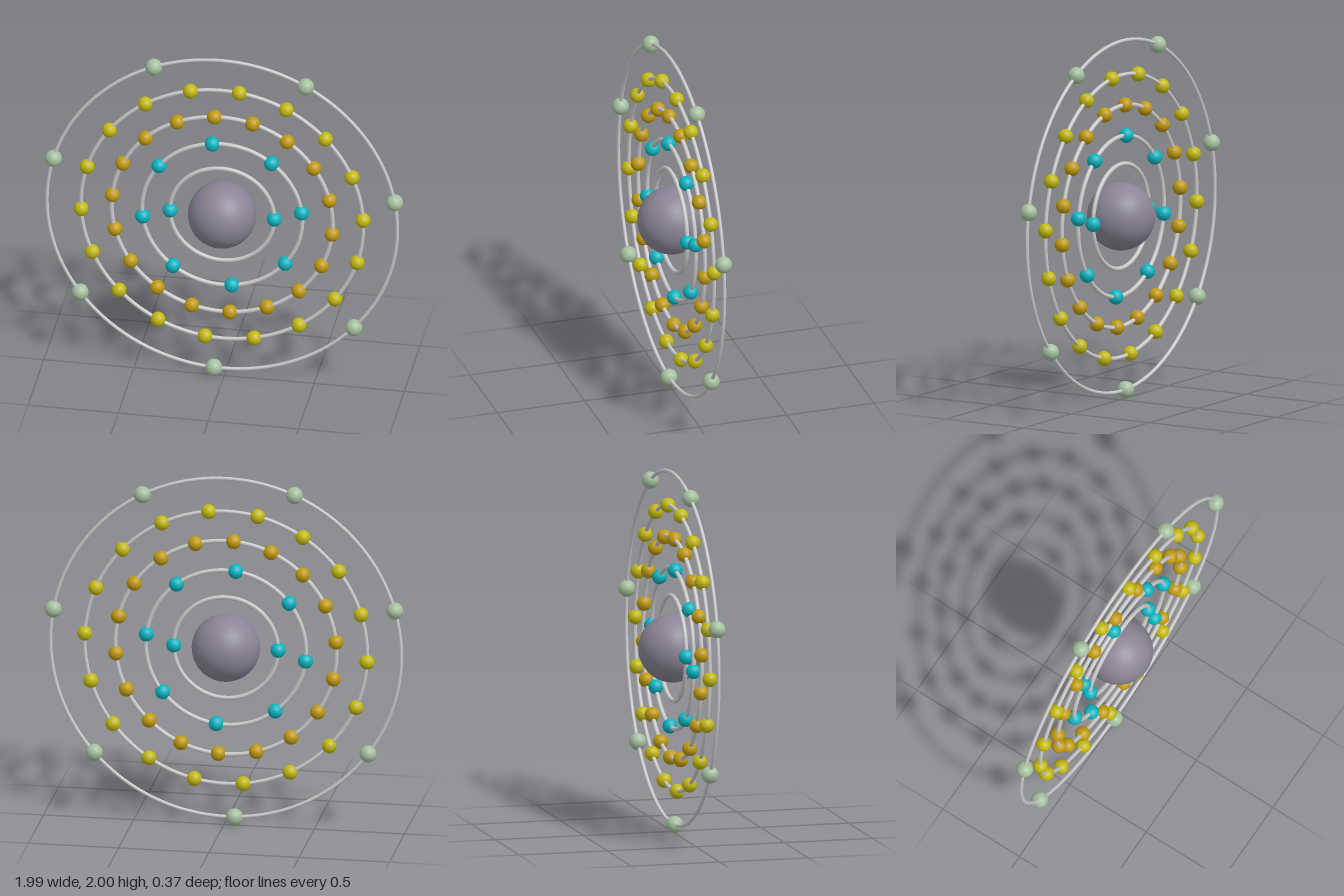
import * as THREE from 'three';

const CENTER = [-0.0105, 1.018, 0];

// Shells from the inside out: ring radius, tube, ball count, first ball angle, ball radius, colour
const SHELLS = [
  { name: 'firstShell', radius: 0.289, tube: 0.012, count: 2, start: 0, ball: 0.041, color: 0x0cb4c0 },
  { name: 'secondShell', radius: 0.444, tube: 0.012, count: 8, start: 7, ball: 0.041, color: 0x0cb4c0 },
  { name: 'thirdShell', radius: 0.613, tube: 0.012, count: 18, start: 14, ball: 0.041, color: 0xc09a10 },
  { name: 'fourthShell', radius: 0.783, tube: 0.011, count: 18, start: 3, ball: 0.041, color: 0xc2b810 },
  { name: 'outerShell', radius: 0.972, tube: 0.010, count: 7, start: 10.1, ball: 0.047, color: 0xa5c0a0 },
];

function part(name, geometry, material) {
  const mesh = new THREE.Mesh(geometry, material);
  mesh.name = name;
  return mesh;
}

export function createModel() {
  const model = new THREE.Group();
  model.name = 'atomModel';
  const atom = new THREE.Group();
  atom.name = 'atom';
  atom.position.set(...CENTER);
  model.add(atom);

  // Central nucleus
  atom.add(part('nucleus', new THREE.SphereGeometry(0.187, 48, 32),
    new THREE.MeshStandardMaterial({ color: 0x8a8496 })));

  // Orbit rings, each with evenly spaced electrons
  const ringMaterial = new THREE.MeshStandardMaterial({ color: 0xcccccc });
  for (const s of SHELLS) {
    const shell = new THREE.Group();
    shell.name = s.name;
    shell.add(part('orbitRing', new THREE.TorusGeometry(s.radius, s.tube, 10, 128), ringMaterial));

    const ball = new THREE.SphereGeometry(s.ball, 24, 16);
    const material = new THREE.MeshStandardMaterial({ color: s.color });
    for (let i = 0; i < s.count; i++) {
      const a = THREE.MathUtils.degToRad(s.start + (360 * i) / s.count);
      const electron = part('electron', ball, material);
      electron.position.set(s.radius * Math.cos(a), s.radius * Math.sin(a), 0);
      shell.add(electron);
    }
    atom.add(shell);
  }
  return model;
}
